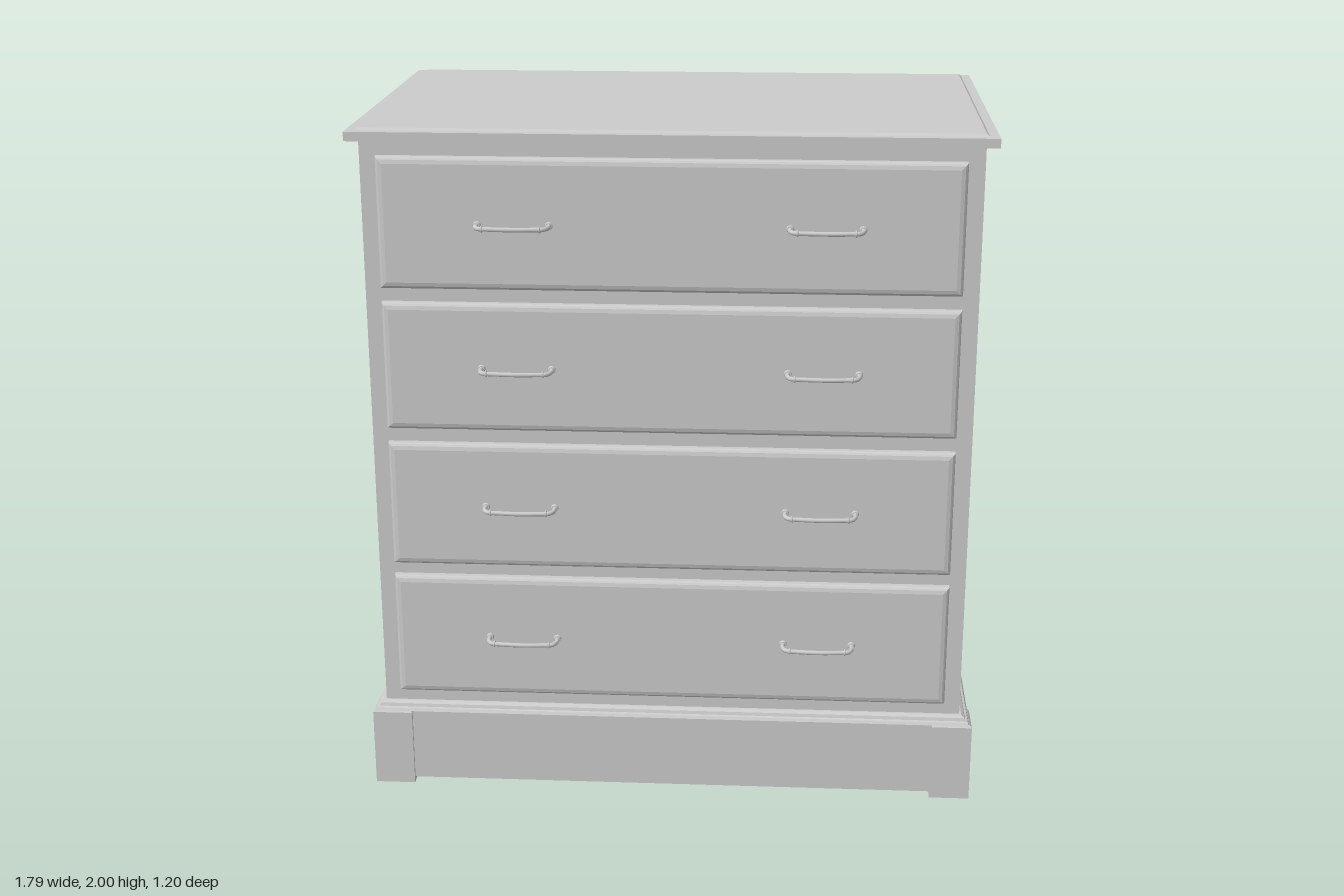
import * as THREE from 'three';

const material = new THREE.MeshStandardMaterial({ color: 0xcccccc });
const HX = 0.86, HZ = 0.54;           // half width and half depth of the carcass
const FOOT = 0.118, RAIL_Y = [1.53, 1.1125, 0.6975];
const DRAWER_Y = [1.7375, 1.3225, 0.905, 0.4925];

function add(parent, name, geometry, x = 0, y = 0, z = 0) {
  const mesh = new THREE.Mesh(geometry, material);
  mesh.name = name;
  mesh.position.set(x, y, z);
  parent.add(mesh);
  return mesh;
}

const box = (parent, name, w, h, d, x, y, z) =>
  add(parent, name, new THREE.BoxGeometry(w, h, d), x, y, z);

// Mitred moulding: rectangles [halfX, halfZ, y] joined in order,
// either capped at both ends or closed into a hollow frame.
function rectLoft(sections, ring = false) {
  const pos = [];
  const corners = sections.map(([a, b, y]) =>
    [[a, y, b], [a, y, -b], [-a, y, -b], [-a, y, b]]);
  const quad = (a, b, c, d) => pos.push(...a, ...b, ...c, ...a, ...c, ...d);
  const n = corners.length;
  for (let s = 0; s < (ring ? n : n - 1); s++) {
    const p = corners[s], q = corners[(s + 1) % n];
    for (let i = 0; i < 4; i++) {
      const j = (i + 1) % 4;
      quad(p[i], p[j], q[j], q[i]);
    }
  }
  if (!ring) {
    const [a, b, c, d] = corners[0];
    quad(d, c, b, a);
    quad(...corners[n - 1]);
  }
  const geometry = new THREE.BufferGeometry();
  geometry.setAttribute('position', new THREE.Float32BufferAttribute(pos, 3));
  geometry.computeVertexNormals();
  return geometry;
}

// Bowed pull with two round feet
function createHandle() {
  const handle = new THREE.Group();
  handle.name = 'handle';
  const path = new THREE.CatmullRomCurve3([
    [-0.1, 0], [-0.1, 0.03], [-0.09, 0.049], [-0.06, 0.054], [0, 0.058],
    [0.06, 0.054], [0.09, 0.049], [0.1, 0.03], [0.1, 0],
  ].map(([x, z]) => new THREE.Vector3(x, 0, z)));
  add(handle, 'handleBar', new THREE.TubeGeometry(path, 40, 0.0065, 10));
  for (const s of [-1, 1]) {
    const foot = new THREE.CylinderGeometry(0.009, 0.012, 0.008, 14).rotateX(Math.PI / 2);
    add(handle, 'handleFoot', foot, s * 0.1, 0, 0.003);
    const collar = new THREE.TorusGeometry(0.007, 0.003, 6, 14).rotateY(Math.PI / 2);
    add(handle, 'handleCollar', collar, s * 0.08, 0, 0.051);
  }
  return handle;
}

function createDrawer(y) {
  const drawer = new THREE.Group();
  drawer.name = 'drawer';
  drawer.position.set(0, y, HZ);
  // Front board with softened edges, lofted upward and turned to face forward
  const w = 0.813, h = 0.187;
  const front = rectLoft([[0, -0.005], [0, 0.016], [0.003, 0.022], [0.008, 0.026], [0.019, 0.029]]
    .map(([inset, z]) => [w - inset, h - inset, z])).rotateX(Math.PI / 2);
  add(drawer, 'drawerFront', front);
  for (const s of [-1, 1]) {
    const handle = createHandle();
    handle.position.set(s * 0.433, 0, 0.028);
    drawer.add(handle);
  }
  return drawer;
}

export function createModel() {
  const model = new THREE.Group();
  model.name = 'chestOfDrawers';
  const chest = new THREE.Group();
  chest.name = 'chest';
  chest.position.z = -0.03;
  model.add(chest);

  // Carcass: corner posts, recessed sides, back and front rails, open below
  const bottom = 0.24, top = 1.97, height = top - bottom, mid = (top + bottom) / 2;
  for (const s of [-1, 1]) {
    for (const f of [-1, 1])
      box(chest, 'cornerPost', 0.07, height, 0.08, s * (HX - 0.035), mid, f * (HZ - 0.04));
    box(chest, 'sidePanel', 0.025, height, 2 * HZ - 0.15, s * (HX - 0.0255), mid, 0);
  }
  box(chest, 'backPanel', 2 * HX - 0.13, height, 0.02, 0, mid, -HZ + 0.01);
  const rail = (y, h) => box(chest, 'frontRail', 2 * HX - 0.13, h, 0.05, 0, y, HZ - 0.025);
  RAIL_Y.forEach((y) => rail(y, 0.08));
  rail(0.285, 0.09);
  rail(1.935, 0.07);

  // Drawers
  DRAWER_Y.forEach((y) => chest.add(createDrawer(y)));

  // Top board with a small raised field
  add(chest, 'topBoard', rectLoft([
    [0.895, 0.57, 1.967], [0.895, 0.57, 1.993], [0.868, 0.543, 1.993], [0.86, 0.535, 2],
  ]));

  // Base: feet, skirting boards and the moulding above them
  const BX = 0.897, BZ = 0.57;
  for (const s of [-1, 1]) {
    for (const f of [-1, 1]) {
      const half = FOOT / 2;
      add(chest, 'foot', rectLoft([[half, half, 0], [half, half, 0.234], [half - 0.008, half - 0.008, 0.243]]),
        s * (BX - half), 0, f * (BZ - half));
    }
    box(chest, 'sideSkirting', 0.025, 0.23, 2 * (BZ - FOOT) + 0.02, s * (BX - 0.0225), 0.13, 0);
    box(chest, 'endSkirting', 2 * (BX - FOOT) + 0.02, 0.23, 0.025, 0, 0.13, s * (BZ - 0.0225));
  }
  add(chest, 'baseMoulding', rectLoft([
    [-0.04, 0.24], [0.03, 0.24], [0.025, 0.248], [0.018, 0.25], [0.015, 0.259], [0.006, 0.266], [-0.04, 0.266],
  ].map(([out, y]) => [HX + out, HZ + out, y]), true));

  return model;
}
